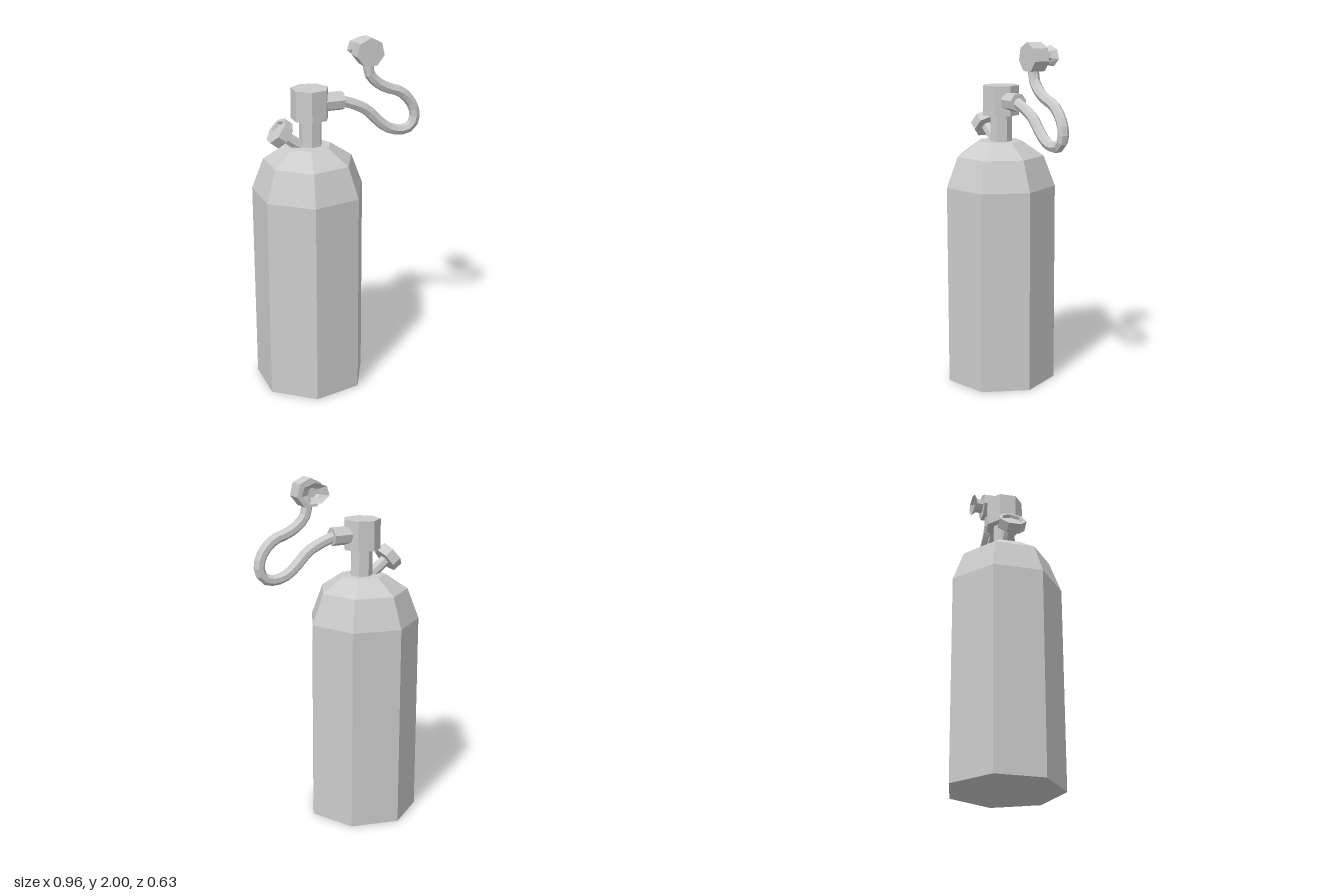
import * as THREE from 'three';

const SIDES = 7;
const material = new THREE.MeshStandardMaterial({ color: 0xcccccc, flatShading: true });

// Seven-sided turned part from [radius, height] pairs, bottom to top
function turned(name, profile, x, y, phiStart = Math.PI / 2) {
  const points = profile.map(([r, h]) => new THREE.Vector2(r, h));
  const mesh = new THREE.Mesh(new THREE.LatheGeometry(points, SIDES, phiStart), material);
  mesh.name = name;
  mesh.position.set(x, y, 0);
  return mesh;
}

// Solid prism profile
const prism = (r, y0, y1) => [[0, y0], [r, y0], [r, y1], [0, y1]];

export function createModel() {
  const model = new THREE.Group();
  model.name = 'gasCylinder';

  // Tank with sloping shoulder, neck and valve block
  model.add(turned('tank', [[0, 0], [0.321, 0], [0.321, 1.165], [0.255, 1.34], [0.129, 1.425], [0, 1.425]], -0.191, 0));
  model.add(turned('neck', prism(0.064, 1.4, 1.6), -0.178, 0));
  model.add(turned('valveBlock', prism(0.106, 1.575, 1.745), -0.18, 0));

  // Side outlet, lying along x
  const outlet = turned('hoseOutlet', prism(0.053, -0.12, 0.01), 0, 1.659);
  outlet.rotation.z = -Math.PI / 2;
  model.add(outlet);

  // Tilted valve knob: stem plus a head with a recessed face
  const knob = new THREE.Group();
  knob.name = 'valveKnob';
  knob.add(turned('knobStem', prism(0.033, -0.2, 0), 0, 0));
  knob.add(turned('knobHead', [
    [0, -0.029], [0.08, -0.029], [0.08, 0.029], [0.062, 0.029], [0.055, 0.012], [0, 0.012],
  ], 0, 0));
  knob.position.set(-0.354, 1.51, 0);
  knob.rotation.z = 0.913;
  model.add(knob);

  // S-shaped hose
  const path = new THREE.CatmullRomCurve3([
    [-0.01, 1.66], [0.06, 1.637], [0.155, 1.59], [0.22, 1.525], [0.285, 1.473], [0.36, 1.452],
    [0.425, 1.47], [0.449, 1.53], [0.427, 1.605], [0.36, 1.674], [0.28, 1.703], [0.215, 1.742],
    [0.17, 1.795], [0.16, 1.87],
  ].map(([x, y]) => new THREE.Vector3(x, y, 0)));
  const hose = new THREE.Mesh(new THREE.TubeGeometry(path, 26, 0.031, SIDES), material);
  hose.name = 'hose';
  model.add(hose);

  // Mouthpiece: body facing z, with a hollow flared oval lip at the back
  const mouthpiece = new THREE.Group();
  mouthpiece.name = 'mouthpiece';
  mouthpiece.add(turned('mouthpieceBody', prism(0.082, -0.042, 0.05), 0, 0, 0));
  const lip = turned('mouthpieceLip', [
    [0.043, 0.04], [0.043, 0.088], [0.085, 0.11], [0.036, 0.086], [0.03, 0.06], [0, 0.06],
  ], 0, 0, 0);
  const pos = lip.geometry.attributes.position;
  for (let i = 0; i < pos.count; i++) {
    // Flatten the flare towards its rim
    if (pos.getY(i) > 0.1) pos.setZ(i, pos.getZ(i) * 0.7);
  }
  lip.geometry.computeVertexNormals();
  lip.position.z = 0.005;
  mouthpiece.add(lip);
  mouthpiece.position.set(0.161, 1.918, 0);
  mouthpiece.rotation.x = -Math.PI / 2;
  model.add(mouthpiece);

  return model;
}
